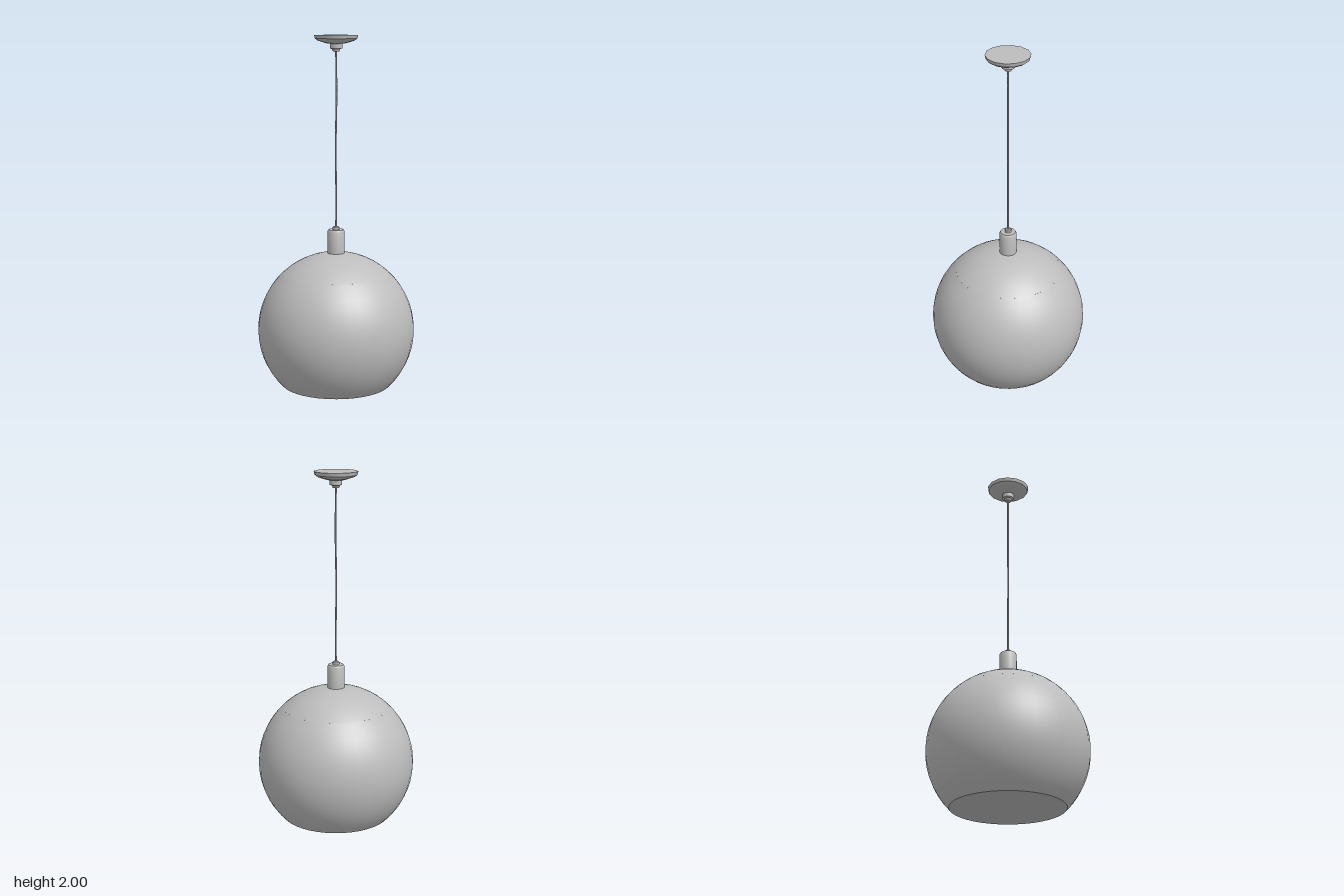
import * as THREE from 'three';
import { toCreasedNormals } from 'three/addons/utils/BufferGeometryUtils.js';

const RADIUS = 0.45, CENTRE = 0.32, SEAM = 0.65;

export function createModel() {
  const group = new THREE.Group();
  const grey = new THREE.MeshStandardMaterial({ color: 0xbdbdbd });

  const add = (name, geometry) => {
    const mesh = new THREE.Mesh(geometry, grey);
    mesh.name = name;
    group.add(mesh);
  };
  // Turned part: [radius, height] points listed from bottom to top
  const turned = (name, points, sides, crease = 0.6) => add(name, toCreasedNormals(
    new THREE.LatheGeometry(points.map(([r, y]) => new THREE.Vector2(r, y)), sides), crease));
  // Points on the globe between two heights
  const arc = (y0, y1, steps) => {
    const a0 = Math.asin((y0 - CENTRE) / RADIUS), a1 = Math.asin((y1 - CENTRE) / RADIUS);
    return Array.from({ length: steps + 1 }, (_, i) => {
      const a = a0 + (a1 - a0) * i / steps;
      return [Math.max(0, RADIUS * Math.cos(a)), CENTRE + RADIUS * Math.sin(a)];
    });
  };

  // Globe with a flat closed base, and the cap seated on it
  turned('globeShade', [[0, 0], ...arc(0, SEAM, 14), [0.295, SEAM]], 40);
  turned('shadeCap', [[0.295, SEAM - 0.005], [0.309, SEAM - 0.003], ...arc(SEAM + 0.003, CENTRE + RADIUS, 7)], 40);

  // Lamp holder with its cord grip
  turned('lampHolder', [[0, 0.755], [0.049, 0.755], [0.049, 0.893], [0.043, 0.903], [0.019, 0.904],
    [0.019, 0.917], [0.014, 0.922], [0, 0.922]], 20);

  // Hanging cord, very slightly wavy
  const cord = new THREE.CatmullRomCurve3([[0, 0.91], [0.001, 1.1], [-0.002, 1.35], [0.002, 1.65], [0, 1.93]]
    .map(([x, y]) => new THREE.Vector3(x, y, x / 2)));
  add('cord', new THREE.TubeGeometry(cord, 20, 0.005, 8));

  // Ceiling rose with a stepped collar below it
  turned('ceilingRose', [[0, 1.952], [0.045, 1.952], [0.075, 1.96], [0.105, 1.97], [0.118, 1.98], [0.123, 2], [0, 2]], 14);
  turned('roseCollar', [[0, 1.908], [0.018, 1.909], [0.023, 1.922], [0.035, 1.926], [0.035, 1.955], [0, 1.955]], 16);

  return group;
}
